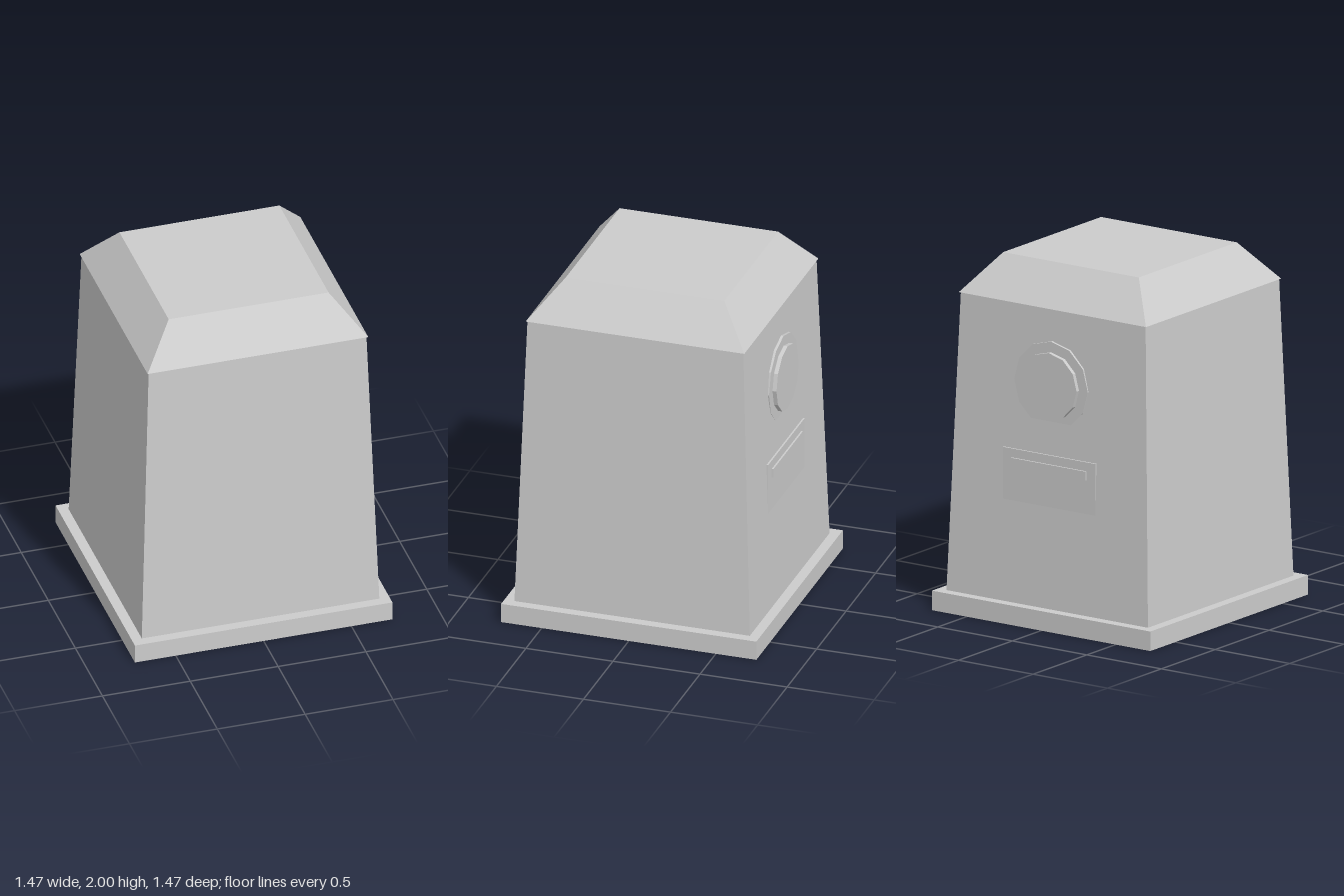
import * as THREE from 'three';

export function createModel() {
  const model = new THREE.Group();
  const grey = new THREE.MeshStandardMaterial({ color: 0xcccccc, flatShading: true });
  grey.name = 'plain grey';

  function add(name, geometry) {
    const mesh = new THREE.Mesh(geometry, grey);
    mesh.name = name;
    model.add(mesh);
  }

  // Square tapered block given by half-widths and heights
  function taper(name, halfBottom, halfTop, y0, y1) {
    const g = new THREE.CylinderGeometry(halfTop * Math.SQRT2, halfBottom * Math.SQRT2, y1 - y0, 4);
    g.rotateY(Math.PI / 4).translate(0, (y0 + y1) / 2, 0);
    add(name, g);
  }

  // Back fittings start inside the wall and end at the given depth
  const inner = 0.6;
  function backPlate(name, width, y0, y1, depth) {
    const g = new THREE.BoxGeometry(width, y1 - y0, depth - inner);
    g.translate(0, (y0 + y1) / 2, -(depth + inner) / 2);
    add(name, g);
  }
  function backDisc(name, radius, y, depth) {
    const g = new THREE.CylinderGeometry(radius, radius, depth - inner, 12);
    g.rotateX(Math.PI / 2).translate(0, y, -(depth + inner) / 2);
    add(name, g);
  }

  // Plinth, sloping body and hipped cap
  taper('plinth', 0.733, 0.733, 0, 0.11);
  taper('body', 0.676, 0.62, 0.11, 1.785);
  taper('cap', 0.628, 0.455, 1.785, 2);

  // Round badge with a raised centre
  backDisc('badgeRim', 0.247, 1.36, 0.641);
  backDisc('badgeCentre', 0.188, 1.36, 0.664);

  // Plate with a raised slot cover
  backPlate('slotPlate', 0.62, 0.62, 0.97, 0.657);
  backPlate('slotCover', 0.5, 0.87, 0.92, 0.667);

  return model;
}
